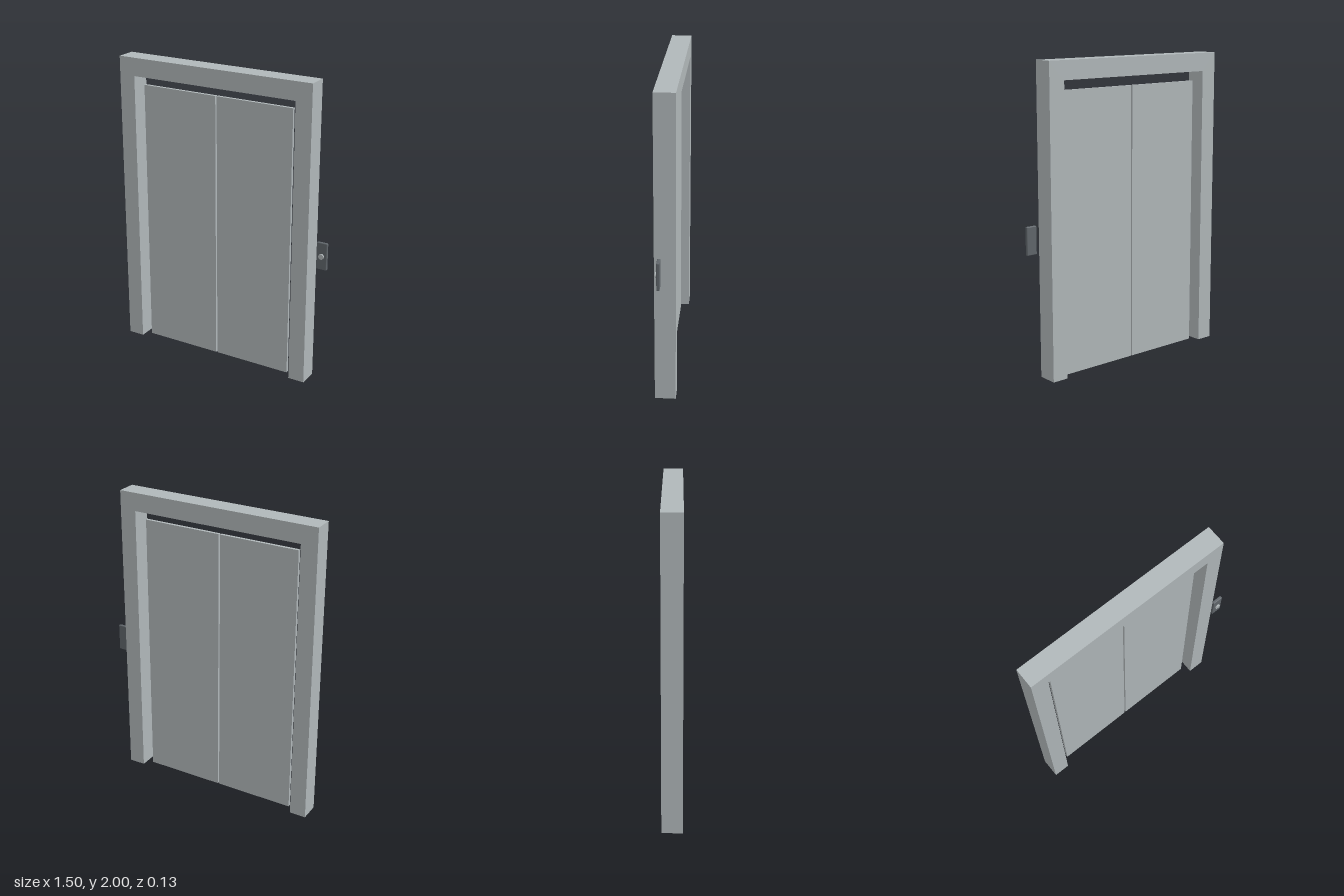
import * as THREE from 'three';
import { RoundedBoxGeometry } from 'three/addons/geometries/RoundedBoxGeometry.js';

export function createModel() {
  const model = new THREE.Group();
  model.name = 'elevatorDoors';

  const steel = new THREE.MeshStandardMaterial({ color: 0xb0b7b9 });
  steel.name = 'brushed steel';
  const darkGrey = new THREE.MeshStandardMaterial({ color: 0x60666b });
  darkGrey.name = 'dark grey';

  const add = (name, geometry, material, x, y, z, parent = model) => {
    const mesh = new THREE.Mesh(geometry, material);
    mesh.name = name;
    mesh.position.set(x, y, z);
    parent.add(mesh);
    return mesh;
  };

  // One-piece surround: two jambs joined by a lintel
  const depth = 0.132;
  const outline = [
    [-0.75, 0], [-0.64, 0], [-0.64, 1.88], [0.52, 1.88],
    [0.52, 0], [0.63, 0], [0.63, 2], [-0.75, 2],
  ].map(([x, y]) => new THREE.Vector2(x, y));
  const surround = new THREE.ExtrudeGeometry(new THREE.Shape(outline), { depth, bevelEnabled: false });
  add('doorFrame', surround, steel, 0, 0, -depth / 2);

  // Two sliding panels with a narrow gap between them
  const centre = -0.062;
  for (const [name, side] of [['rightDoor', -1], ['leftDoor', 1]]) {
    add(name, new THREE.BoxGeometry(0.535, 1.815, 0.02), steel, centre + side * 0.2725, 0.9075, 0);
  }

  // Call plate with a round push button
  const callPanel = new THREE.Group();
  callPanel.name = 'callPanel';
  callPanel.position.set(0.714, 0.91, 0.031);
  model.add(callPanel);
  add('callPlate', new RoundedBoxGeometry(0.072, 0.18, 0.02, 2, 0.005), darkGrey, 0, 0, 0, callPanel);
  const button = new THREE.CylinderGeometry(0.018, 0.018, 0.012, 16);
  button.rotateX(Math.PI / 2);
  add('callButton', button, steel, 0, 0, 0.014, callPanel);

  return model;
}
